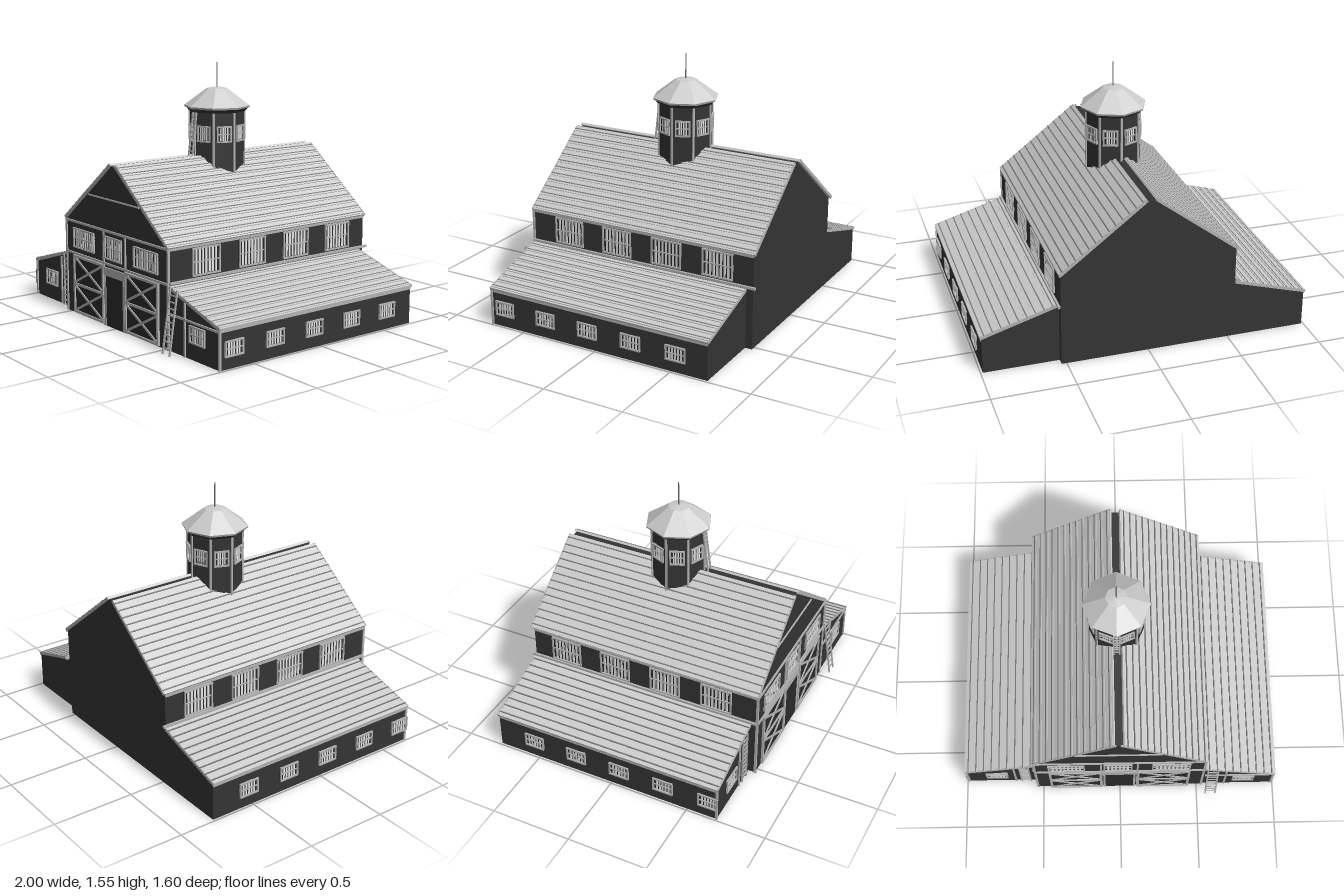
import * as THREE from 'three';

const mat = (name, color) => {
  const m = new THREE.MeshStandardMaterial({ color });
  m.name = name;
  return m;
};

export function createModel() {
  const wall = mat('dark wall', 0x343434);
  const roofMat = mat('roof sheet', 0xcccccc);
  const seam = mat('roof seam', 0x777777);
  const trim = mat('trim', 0xb2b2b2);
  const white = mat('window bar', 0xe4e4e4);
  const doorMat = mat('door', 0x2b2b2b);
  const model = new THREE.Group();
  model.name = 'barn';

  const group = (name, parent = model) => {
    const g = new THREE.Group();
    g.name = name;
    parent.add(g);
    return g;
  };
  const add = (parent, name, geometry, material, x = 0, y = 0, z = 0) => {
    const m = new THREE.Mesh(geometry, material);
    m.name = name;
    m.position.set(x, y, z);
    parent.add(m);
    return m;
  };
  const box = (parent, name, w, h, d, x, y, z, material) =>
    add(parent, name, new THREE.BoxGeometry(w, h, d), material, x, y, z);

  // Straight beam between two points
  const UP = new THREE.Vector3(0, 1, 0);
  const beam = (parent, name, a, b, w, d, material) => {
    const p = new THREE.Vector3(...a), q = new THREE.Vector3(...b);
    const dir = q.clone().sub(p);
    const m = box(parent, name, w, dir.length(), d, 0, 0, 0, material);
    m.position.copy(p).add(q).multiplyScalar(0.5);
    m.quaternion.setFromUnitVectors(UP, dir.normalize());
    return m;
  };

  // Solid of constant section along z
  const prism = (name, pts, z0, z1, material) => {
    const shape = new THREE.Shape(pts.map(p => new THREE.Vector2(...p)));
    const g = new THREE.ExtrudeGeometry(shape, { depth: z1 - z0, bevelEnabled: false });
    return add(model, name, g, material, 0, 0, z0);
  };

  // Framed, barred window facing local +z
  const windowAt = (parent, w, h, x, y, z, turn, bars) => {
    const g = group('window', parent);
    g.position.set(x, y, z);
    g.rotation.y = turn;
    const t = 0.009;
    box(g, 'pane', w, h, 0.004, 0, 0, 0.001, doorMat);
    for (const s of [-1, 1]) {
      box(g, 'frameSide', t, h, 0.014, s * (w - t) / 2, 0, 0.005, trim);
      box(g, 'frameRail', w, t, 0.016, 0, s * (h - t) / 2, 0.005, trim);
    }
    const inner = w - 4 * t, step = inner / bars;
    for (let i = 0; i < bars; i++)
      box(g, 'bar', step * 0.6, h - 2.5 * t, 0.006, -inner / 2 + (i + 0.5) * step, 0, 0.003, white);
    box(g, 'midRail', w - 2 * t, 0.006, 0.009, 0, 0, 0.005, trim);
  };

  // Sloping roof sheet with seams running along z
  const roof = (name, a, b, z0, z1, seams) => {
    const g = group(name);
    const dx = b[0] - a[0], dy = b[1] - a[1], len = Math.hypot(dx, dy);
    g.position.set((a[0] + b[0]) / 2, (a[1] + b[1]) / 2, (z0 + z1) / 2);
    g.rotation.z = Math.atan2(dy, dx);
    box(g, 'sheet', len, 0.014, z1 - z0, 0, -0.007, 0, roofMat);
    for (let i = 0; i < seams; i++) {
      const x = -len / 2 + (i + 0.5) * len / seams;
      box(g, 'seam', 0.007, 0.007, z1 - z0, x, 0.0015, 0, seam);
      box(g, 'lap', 0.012, 0.006, z1 - z0, x + 0.0095, 0.001, 0, roofMat);
    }
    for (const s of [-1, 1])
      box(g, 'edgeTrim', len, 0.018, 0.008, 0, -0.007, s * ((z1 - z0) / 2 - 0.002), trim);
  };

  const ladder = (name, bottom, top, width, rungs, parent = model) => {
    const g = group(name, parent);
    for (const s of [-1, 1]) {
      const o = s * width / 2;
      beam(g, 'rail', [bottom[0] + o, bottom[1], bottom[2]], [top[0] + o, top[1], top[2]], 0.009, 0.009, trim);
    }
    for (let i = 1; i <= rungs; i++) {
      const p = new THREE.Vector3(...bottom).lerp(new THREE.Vector3(...top), i / (rungs + 1));
      box(g, 'rung', width, 0.007, 0.007, p.x, p.y, p.z, trim);
    }
  };

  // Main hall and lean-to wings
  const F = 0.735, B = -0.775;
  prism('mainHall', [[-0.535, 0], [0.53, 0], [0.53, 0.585], [0.025, 0.975], [-0.035, 0.975], [-0.535, 0.59]], B, F, wall);
  const wings = [
    { s: 1, front: 0.73, back: -0.73, name: 'left' },
    { s: -1, front: 0.69, back: -0.775, name: 'right' },
  ];
  roof('mainRoofLeft', [0.025, 0.99], [0.54, 0.592], -0.785, 0.742, 13);
  roof('mainRoofRight', [-0.55, 0.6], [-0.038, 0.992], -0.79, 0.742, 13);

  for (const { s, front, back, name } of wings) {
    const pts = [[0.52, 0], [0.987, 0], [0.987, 0.222], [0.52, 0.364]].map(([x, y]) => [s * x, y]);
    prism(name + 'Wing', s > 0 ? pts : pts.reverse(), back, front, wall);
    const lo = [s * 0.997, 0.238], hi = [s * 0.54, 0.375];
    roof(name + 'WingRoof', s > 0 ? hi : lo, s > 0 ? lo : hi, back - 0.005, front + 0.007, 9);

    // Wing trim and windows
    const g = group(name + 'WingDetails');
    box(g, 'ridgeBar', 0.014, 0.014, 1.53, s * 0.543, 0.388, -0.03, trim);
    box(g, 'cornerPost', 0.014, 0.225, 0.014, s * 0.987, 0.1125, front, trim);
    box(g, 'wallPost', 0.012, 0.31, 0.01, s * 0.68, 0.155, front + 0.003, trim);
    if (s > 0) box(g, 'wallRail', 0.44, 0.012, 0.01, 0.765, 0.215, front + 0.003, trim);
    box(g, 'eaveRail', 0.008, 0.012, front - back, s * 0.989, 0.218, (front + back) / 2, trim);
    windowAt(g, 0.14, 0.1, s * 0.795, 0.147, front, 0, 5);
    for (let i = 0; i < 5; i++)
      windowAt(g, 0.13, 0.092, s * 0.987, 0.116, 0.635 - i * 0.291, s * Math.PI / 2, 5);

    // Upper hall side windows and eave rails
    const wallX = s > 0 ? 0.53 : -0.535;
    for (let i = 0; i < 4; i++)
      windowAt(g, 0.2, 0.165, wallX, 0.485, 0.47 - i * 0.339, s * Math.PI / 2, 7);
    box(g, 'hallEave', 0.012, 0.014, F - B, wallX, 0.578, (F + B) / 2, trim);
    box(g, 'hallCorner', 0.014, 0.58, 0.014, wallX, 0.29, F, trim);
  }

  // Front trim and windows
  const face = group('frontTrim');
  const Z = F + 0.003;
  for (const y of [0.382, 0.582]) box(face, 'rail', 1.07, 0.013, 0.012, -0.0025, y, Z, trim);
  box(face, 'gableRail', 0.53, 0.008, 0.01, -0.01, 0.775, Z, trim);
  for (const x of [-0.118, 0.11]) box(face, 'post', 0.012, 0.58, 0.01, x, 0.29, Z, trim);
  beam(face, 'gableEdge', [0.53, 0.585, Z], [0.005, 0.985, Z], 0.01, 0.01, trim);
  beam(face, 'gableEdge', [-0.54, 0.59, Z], [-0.025, 0.985, Z], 0.01, 0.01, trim);
  windowAt(face, 0.23, 0.125, -0.335, 0.482, F, 0, 8);
  windowAt(face, 0.18, 0.14, -0.013, 0.482, F, 0, 6);
  windowAt(face, 0.24, 0.125, 0.32, 0.482, F, 0, 8);

  // Cross-braced barn doors
  for (const x of [-0.283, 0.277]) {
    const d = group('barnDoor');
    d.position.set(x, 0.19, F);
    const w = 0.335, h = 0.365;
    box(d, 'panel', w, h, 0.008, 0, 0, 0.002, doorMat);
    for (const s of [-1, 1]) {
      box(d, 'stile', 0.015, h, 0.016, s * (w / 2 - 0.007), 0, 0.006, trim);
      box(d, 'rail', w, 0.015, 0.016, 0, s * (h / 2 - 0.007), 0.006, trim);
      for (const k of [-1, 1])
        beam(d, 'brace', [-0.155, s * 0.09 - k * 0.08, 0.008], [0.155, s * 0.09 + k * 0.08, 0.008 + k * 0.001], 0.014, 0.009, trim);
    }
    box(d, 'middleRail', w, 0.015, 0.016, 0, 0, 0.006, trim);
  }

  // Central entrance
  const entry = group('entrance');
  box(entry, 'door', 0.18, 0.31, 0.008, -0.004, 0.155, F + 0.002, doorMat);
  box(entry, 'header', 0.215, 0.05, 0.012, -0.004, 0.335, Z, trim);
  for (const s of [-1, 1]) box(entry, 'jamb', 0.014, 0.36, 0.012, -0.004 + s * 0.096, 0.18, Z, trim);

  ladder('leftLadder', [0.59, 0, 0.797], [0.59, 0.37, 0.74], 0.065, 9);
  ladder('rightLadder', [-0.613, 0, 0.697], [-0.613, 0.34, 0.697], 0.058, 9);

  // Octagonal lookout tower
  const tower = group('tower');
  tower.position.set(-0.01, 0, -0.035);
  const octagon = (name, rTop, rBottom, y0, y1, material) => {
    const g = new THREE.CylinderGeometry(rTop, rBottom, y1 - y0, 8).toNonIndexed();
    g.computeVertexNormals();
    return add(tower, name, g, material, 0, (y0 + y1) / 2, 0);
  };
  octagon('towerWall', 0.17, 0.17, 0.8, 1.27, wall);
  octagon('eaveSoffit', 0.195, 0.175, 1.25, 1.275, wall);
  octagon('eaveRim', 0.204, 0.2, 1.272, 1.284, trim);
  octagon('towerRoof', 0.065, 0.202, 1.284, 1.388, roofMat);
  octagon('towerCap', 0.018, 0.065, 1.388, 1.396, roofMat);
  add(tower, 'spire', new THREE.CylinderGeometry(0.003, 0.004, 0.155, 8), seam, 0, 1.47, 0);
  for (let i = 0; i < 8; i++) {
    const a = i * Math.PI / 4, b = a + Math.PI / 8;
    const post = box(tower, 'cornerPost', 0.013, 0.43, 0.01, Math.sin(a) * 0.17, 1.05, Math.cos(a) * 0.17, trim);
    post.rotation.y = a;
    windowAt(tower, 0.092, 0.1, Math.sin(b) * 0.157, 1.122, Math.cos(b) * 0.157, b, 4);
  }
  ladder('towerLadder', [0, 0.985, 0.205], [0, 1.25, 0.172], 0.035, 8, tower);

  return model;
}
